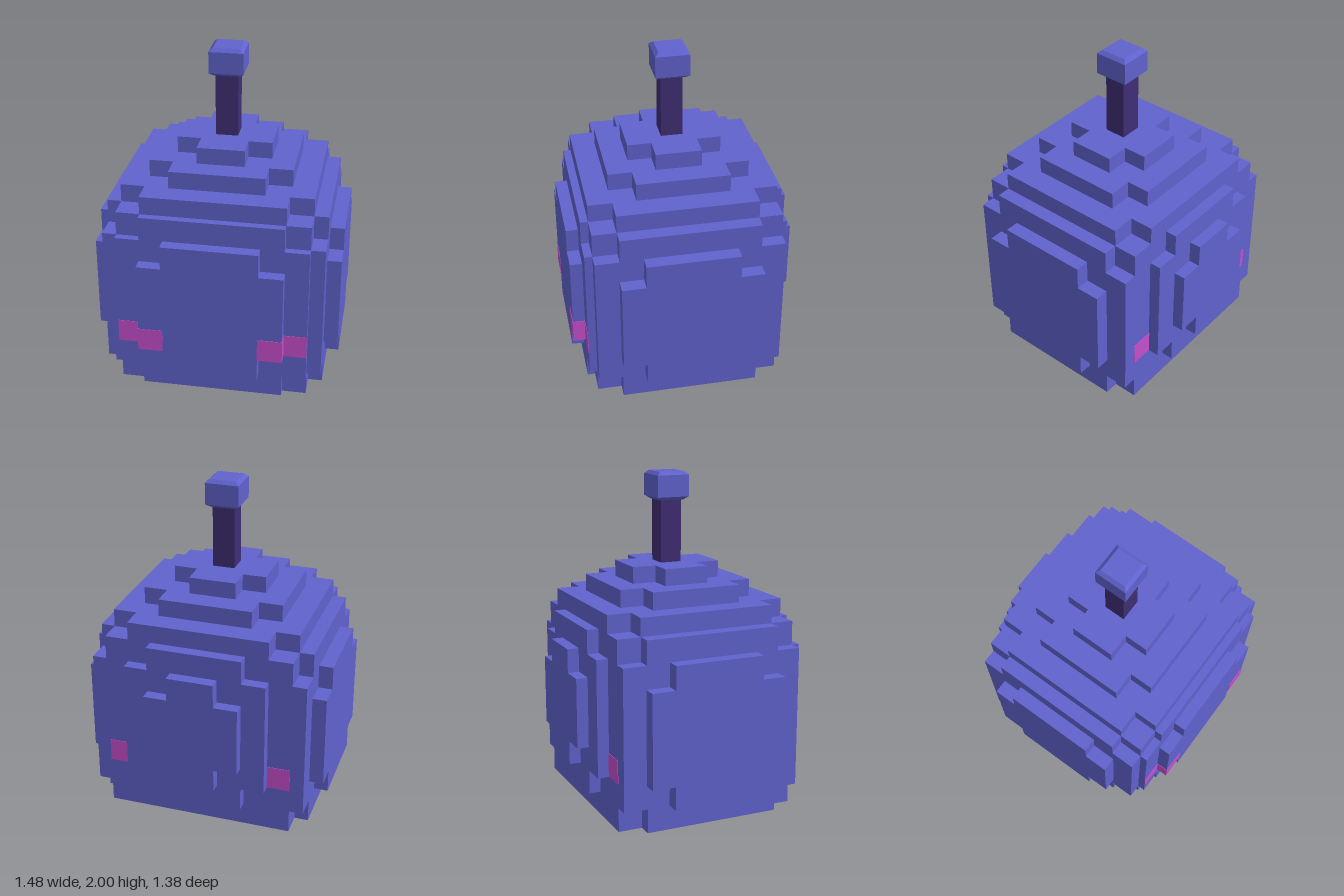
import * as THREE from 'three';

const H = Math.PI / 2;
const blue = new THREE.MeshStandardMaterial({ color: 0x6062ce, flatShading: true });
blue.name = 'periwinkle blue';
const pink = new THREE.MeshStandardMaterial({ color: 0xc74fcd });
pink.name = 'magenta pink';
const purple = new THREE.MeshStandardMaterial({ color: 0x3f2e73 });
purple.name = 'dark purple';

// Rectangle with square notches cut from its four corners
function notchedShape(halfW, v0, v1, n) {
  const a = halfW - n;
  return new THREE.Shape([
    [-a, v0], [a, v0], [a, v0 + n], [halfW, v0 + n], [halfW, v1 - n], [a, v1 - n],
    [a, v1], [-a, v1], [-a, v1 - n], [-halfW, v1 - n], [-halfW, v0 + n], [-a, v0 + n],
  ].map(([x, y]) => new THREE.Vector2(x, y)));
}

// Stepped plate spanning distances from..to along its outward axis
function plate(name, halfW, v0, v1, n, from, to, rx = 0, ry = 0) {
  const geo = new THREE.ExtrudeGeometry(notchedShape(halfW, v0, v1, n), { depth: to - from, bevelEnabled: false });
  geo.translate(0, 0, from);
  geo.rotateX(rx);
  geo.rotateY(ry);
  const mesh = new THREE.Mesh(geo, blue);
  mesh.name = name;
  return mesh;
}

function box(name, w, h, d, x, y, z, material) {
  const mesh = new THREE.Mesh(new THREE.BoxGeometry(w, h, d), material);
  mesh.position.set(x, y, z);
  mesh.name = name;
  return mesh;
}

export function createModel() {
  const model = new THREE.Group();
  model.name = 'blockyBody';
  const g = new THREE.Group();
  g.name = 'body';
  g.position.z = 0.01;
  model.add(g);

  // Core block
  g.add(box('core', 1.14, 1.14, 1.12, 0, 0.57, 0, blue));

  // Front and back stepped plates
  g.add(plate('frontShell', 0.57, 0, 1.14, 0.145, 0.56, 0.607));
  g.add(plate('frontPanel', 0.43, 0.145, 1.0, 0.145, 0.607, 0.68));
  g.add(plate('backShell', 0.43, 0.145, 1.14, 0.143, 0.56, 0.63, 0, Math.PI));
  g.add(plate('backPanel', 0.285, 0.29, 1.0, 0.143, 0.63, 0.70, 0, Math.PI));

  // Side stepped plates
  for (const [side, s] of [['left', 1], ['right', -1]]) {
    g.add(plate(side + 'Shell', 0.56, 0, 1.14, 0.145, 0.57, 0.655, 0, s * H));
    g.add(plate(side + 'Panel', 0.42, 0.145, 1.0, 0.143, 0.655, 0.74, 0, s * H));
  }

  // Terraced top
  g.add(plate('topShell', 0.57, -0.56, 0.56, 0.143, 1.14, 1.25, -H));
  g.add(plate('topStep', 0.427, -0.42, 0.42, 0.143, 1.25, 1.355, -H));
  g.add(plate('topCap', 0.285, -0.28, 0.28, 0.143, 1.355, 1.455, -H));

  // Pink patches: front ones wrap over the panel edge, back ones sit beside the shell
  const t = 0.004, y = 0.362, h = 0.143;
  for (const s of [1, -1]) {
    g.add(box('frontPatchInner', 0.145 + t, h, t, s * 0.3585, y, 0.681, pink));
    g.add(box('frontPatchEdge', t, h, 0.073, s * 0.431, y, 0.6445, pink));
    g.add(box('frontPatchOuter', 0.14, h, t, s * 0.5, y, 0.608, pink));
    g.add(box('backPatch', 0.14, h, t, s * 0.5, y, -0.561, pink));
  }

  // Stalk and bevelled knob
  g.add(box('stalk', 0.134, 0.4, 0.13, 0, 1.645, 0, purple));
  const profile = [[0, 1.83], [0.075, 1.83], [0.102, 1.85], [0.102, 1.98], [0.08, 2], [0, 2]]
    .map(([r, py]) => new THREE.Vector2(r * Math.SQRT2, py));
  const knobGeo = new THREE.LatheGeometry(profile, 4);
  knobGeo.rotateY(Math.PI / 4);
  const knob = new THREE.Mesh(knobGeo, blue);
  knob.name = 'knob';
  g.add(knob);

  return model;
}
